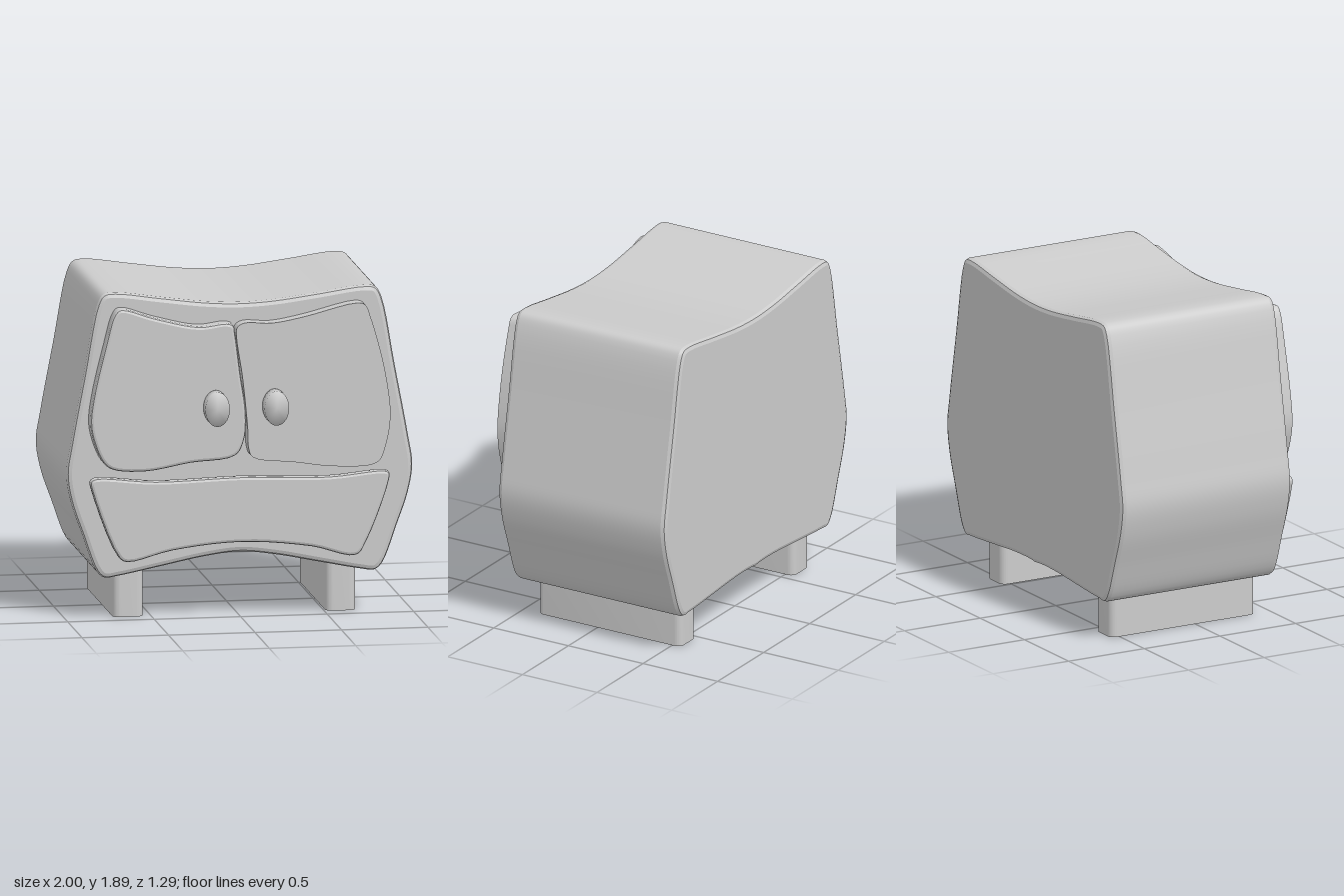
import * as THREE from 'three';
import { toCreasedNormals, mergeVertices } from 'three/addons/utils/BufferGeometryUtils.js';

const grey = new THREE.MeshStandardMaterial({ color: 0xcccccc });
const greyThin = new THREE.MeshStandardMaterial({ color: 0xcccccc, side: THREE.DoubleSide });

// Smooth closed outline through a few control points
function outline(points) {
  const curve = new THREE.CatmullRomCurve3(points.map(([x, y]) => new THREE.Vector3(x, y, 0)), true, 'centripetal');
  const dense = curve.getPoints(points.length * 5).slice(0, -1);
  return new THREE.Shape(dense.map(p => new THREE.Vector2(p.x, p.y)));
}

// Slab between z0 and z1 whose rounded edges stay inside the outline
function slab(shape, z0, z1, bevel) {
  const g = new THREE.ExtrudeGeometry(shape, {
    depth: z1 - z0 - 2 * bevel, bevelEnabled: bevel > 0, bevelSize: bevel,
    bevelThickness: bevel, bevelOffset: -bevel, bevelSegments: 2,
  });
  return g.translate(0, 0, z0 + bevel);
}

function addPart(group, name, geometry, material = grey) {
  const mesh = new THREE.Mesh(geometry, material);
  mesh.name = name;
  group.add(mesh);
  return mesh;
}

export function createModel() {
  const group = new THREE.Group();
  group.name = 'cabinet';

  // Bulging body: right half of the outline, mirrored
  const half = [
    [0.2, 1.828], [0.45, 1.86], [0.72, 1.895], [0.785, 1.885], [0.82, 1.83], [0.9, 1.42],
    [0.975, 1.02], [1, 0.85], [0.975, 0.69], [0.91, 0.5], [0.825, 0.28], [0.78, 0.242],
    [0.7, 0.25], [0.45, 0.3], [0.2, 0.35],
  ];
  const mirrored = half.map(([x, y]) => [-x, y]).reverse();
  const body = slab(outline([[0, 1.818], ...half, [0, 0.372], ...mirrored]), -0.645, 0.475, 0.028);
  // The underside arch flattens towards the back
  const pos = body.attributes.position;
  for (let i = 0; i < pos.count; i++) {
    const y = pos.getY(i);
    if (y > 0.6) continue;
    const back = (0.475 - pos.getZ(i)) / 1.12;
    pos.setY(i, y - 0.1 * back * Math.max(0, 1 - Math.abs(pos.getX(i)) / 0.74));
  }
  addPart(group, 'body', toCreasedNormals(body, 0.37));

  // Doors: one with rounded edges, one with sharp edges
  const rightDoor = outline([
    [-0.7, 1.812], [-0.5, 1.755], [-0.25, 1.7], [-0.09, 1.715], [-0.05, 1.7], [-0.04, 1.65],
    [-0.01, 1.42], [0.022, 1.18], [0.01, 1.03], [-0.04, 0.945], [-0.3, 0.91], [-0.56, 0.868],
    [-0.75, 0.885], [-0.805, 0.93], [-0.86, 1.06], [-0.876, 1.16], [-0.86, 1.3], [-0.79, 1.6], [-0.735, 1.785],
  ]);
  addPart(group, 'rightDoor', toCreasedNormals(slab(rightDoor, 0.45, 0.56, 0.018), 0.37));
  const leftDoor = outline([
    [-0.03, 1.69], [0.01, 1.715], [0.17, 1.71], [0.35, 1.74], [0.66, 1.812], [0.71, 1.8],
    [0.74, 1.73], [0.81, 1.48], [0.85, 1.25], [0.855, 1.14], [0.83, 0.99], [0.78, 0.885],
    [0.55, 0.868], [0.3, 0.9], [0.06, 0.935], [0.035, 0.99], [0.03, 1.1], [0, 1.4], [-0.035, 1.64],
  ]);
  addPart(group, 'leftDoor', toCreasedNormals(slab(leftDoor, 0.45, 0.565, 0), 0.6));

  // Drawer front and the smaller block that carries it
  const drawerShape = outline([
    [-0.85, 0.835], [-0.5, 0.81], [0, 0.822], [0.5, 0.81], [0.82, 0.835], [0.85, 0.822], [0.85, 0.78],
    [0.72, 0.43], [0.66, 0.348], [0.4, 0.405], [0, 0.442], [-0.4, 0.405], [-0.66, 0.345],
    [-0.71, 0.37], [-0.87, 0.77], [-0.877, 0.815],
  ]);
  addPart(group, 'drawerFront', toCreasedNormals(slab(drawerShape, 0.498, 0.56, 0.018), 0.37));
  const block = slab(drawerShape, 0.45, 0.5, 0);
  block.translate(0, -0.59, 0).scale(0.85, 0.72, 1).translate(0, 0.565, 0);
  addPart(group, 'drawerBlock', toCreasedNormals(block, 0.6));

  // Oval knobs with softly shaded rims
  for (const [name, x, front] of [['rightKnob', -0.155, 0.633], ['leftKnob', 0.185, 0.648]]) {
    let knob = new THREE.CylinderGeometry(1, 1, 0.095, 28);
    knob.rotateX(Math.PI / 2).scale(0.071, 0.1, 1).translate(x, 1.23, front - 0.0475);
    knob.deleteAttribute('normal');
    knob.deleteAttribute('uv');
    knob = mergeVertices(knob);
    knob.computeVertexNormals();
    addPart(group, name, knob);
  }

  // Long hollow feet with rounded corners, open underneath
  for (const [name, x0, x1] of [['rightFoot', -0.72, -0.545], ['leftFoot', 0.51, 0.683]]) {
    const r = 0.04, z0 = -0.4, z1 = 0.555;
    const s = new THREE.Shape();
    s.absarc(x1 - r, z1 - r, r, 0, Math.PI / 2);
    s.absarc(x0 + r, z1 - r, r, Math.PI / 2, Math.PI);
    s.absarc(x0 + r, z0 + r, r, Math.PI, Math.PI * 1.5);
    s.absarc(x1 - r, z0 + r, r, Math.PI * 1.5, Math.PI * 2);
    const full = new THREE.ExtrudeGeometry(s, { depth: 0.31, bevelEnabled: false, curveSegments: 5 });
    // Keep only the walls
    const walls = new THREE.BufferGeometry();
    const start = full.groups[1].start * 3;
    walls.setAttribute('position', new THREE.BufferAttribute(full.attributes.position.array.slice(start), 3));
    walls.rotateX(-Math.PI / 2);
    addPart(group, name, toCreasedNormals(walls, 0.6), greyThin);
  }
  return group;
}
